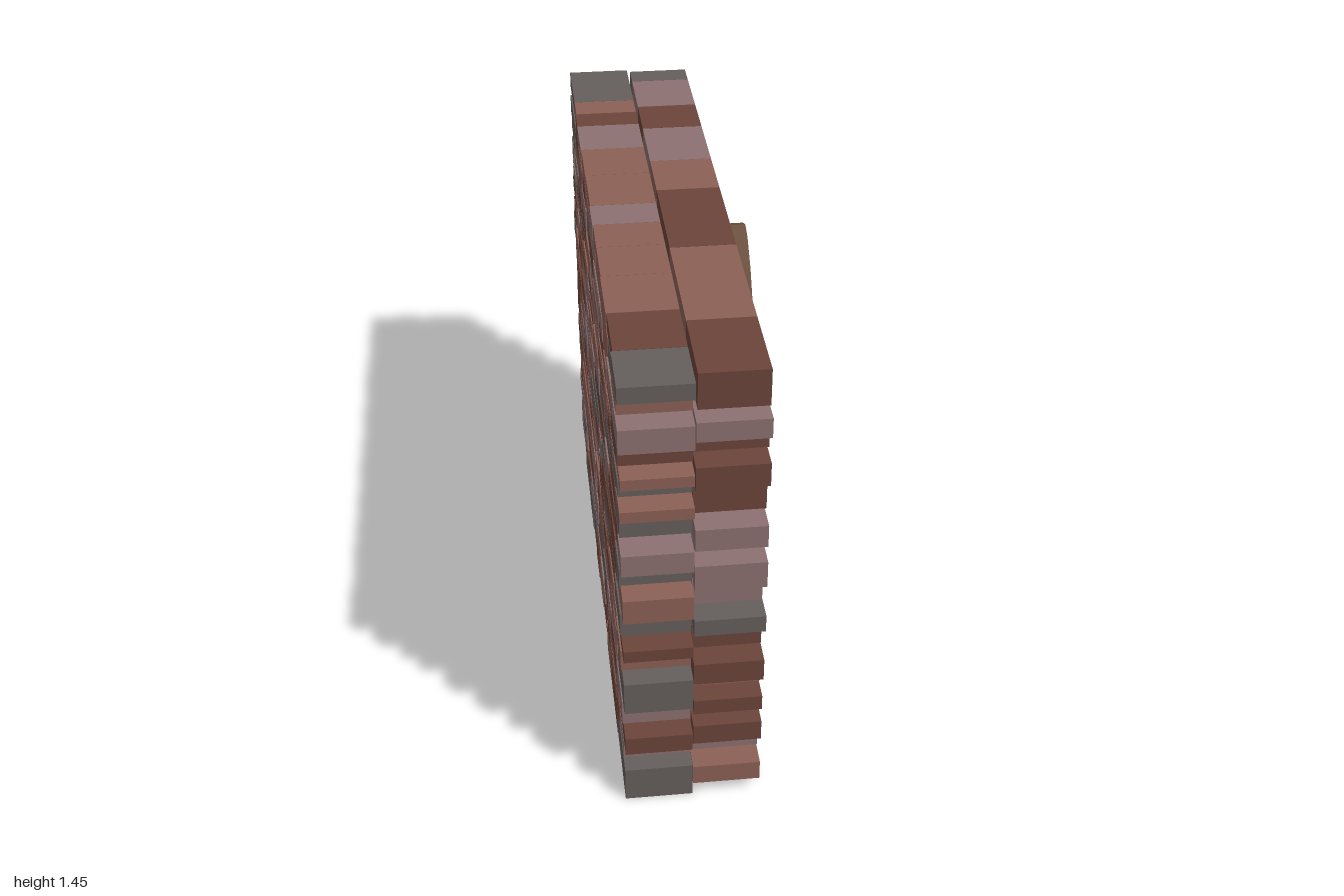
import * as THREE from 'three';

const mat = (color) => new THREE.MeshStandardMaterial({ color, flatShading: true });

// Small seeded generator for repeatable masonry
function seeded(seed) {
  let s = seed;
  return () => (s = (s * 16807) % 2147483647) / 2147483647;
}

const BRICK = { G: mat(0x655f5d), D: mat(0x6c443b), R: mat(0x8c6055), P: mat(0x8c7070) };
const UNIT = new THREE.BoxGeometry(1, 1, 1);

// One skin of the wall: rows are [bottom, top, colour of +z end brick, mean brick length]
function brickSkin(name, x0, x1, rows, ends, seed) {
  const skin = new THREE.Group();
  skin.name = name;
  const rnd = seeded(seed);
  const codes = 'DDRRPPG';
  rows.forEach(([y0, y1, endCode, mean], row) => {
    const [zEnd, zStart] = ends[row % 2];
    let z = zEnd, code = endCode;
    while (z - zStart > 0.01) {
      let len = mean * (0.6 + 0.8 * rnd());
      if (z - len - zStart < 0.07) len = z - zStart;
      const edge = row === 0 || y0 === 0;
      const drop = edge ? 0 : 0.009 * rnd();
      const lift = edge ? 0 : 0.004 * rnd();
      const gap = edge ? 0.001 : 0.002 + 0.005 * rnd();
      const inset = 0.005 * rnd();
      const brick = new THREE.Mesh(UNIT, BRICK[code]);
      brick.name = 'brick';
      const h = y1 - y0 - drop - lift;
      brick.scale.set(x1 - x0 - inset, h, len - gap);
      brick.position.set((x0 + x1 + (x0 < -0.1 ? inset : -inset)) / 2, y0 + lift + h / 2, z - len / 2);
      skin.add(brick);
      z -= len;
      code = codes[Math.floor(rnd() * codes.length)];
    }
  });
  return skin;
}

// Capping course with its visible brick joints
function topCourse() {
  const course = new THREE.Group();
  course.name = 'topCourse';
  const joints = [0.94, 0.68, 0.28, -0.08, -0.28, -0.52, -0.69, -0.9, -0.985];
  [...'DRDRPDPG'].forEach((code, i) => {
    const brick = new THREE.Mesh(UNIT, BRICK[code]);
    brick.name = 'capBrick';
    brick.scale.set(0.19, 0.11, joints[i] - joints[i + 1] - 0.001);
    brick.position.set(0.055, 1.395, (joints[i] + joints[i + 1]) / 2);
    course.add(brick);
  });
  return course;
}

// Right half of the pointed arch, shrunk by an inset; optionally clipped to a plank [a, b]
const HALF = [[0.305, 1.0], [0.12, 1.265], [0.05, 1.33], [0, 1.35]];
const SPREAD = [[1, 0.3], [0.75, 0.65], [0.4, 0.9], [0, 1]];
function archProfile(inset) {
  const right = HALF.map(([u, y], i) => [u - inset * SPREAD[i][0], y - inset * SPREAD[i][1]]);
  const left = right.slice(0, -1).reverse().map(([u, y]) => [-u, y]);
  return [...right, ...left].reverse(); // runs from -u to +u
}
function heightAt(profile, u) {
  for (let i = 1; i < profile.length; i++) {
    const [a, ya] = profile[i - 1], [b, yb] = profile[i];
    if (u <= b + 1e-6) return ya + ((yb - ya) * (u - a)) / (b - a);
  }
  return profile.at(-1)[1];
}
function archPoints(inset, y0, a = -1, b = 1) {
  const profile = archProfile(inset);
  const u0 = Math.max(a, profile[0][0]), u1 = Math.min(b, profile.at(-1)[0]);
  const top = [
    [u0, heightAt(profile, u0)],
    ...profile.filter(([u]) => u > u0 + 1e-4 && u < u1 - 1e-4),
    [u1, heightAt(profile, u1)],
  ];
  return [[u0, y0], [u1, y0], ...top.reverse()].map(([u, y]) => new THREE.Vector2(u, y));
}

function slab(name, shape, depth, z, material) {
  const geo = new THREE.ExtrudeGeometry(shape, { depth, bevelEnabled: false });
  const mesh = new THREE.Mesh(geo, material);
  mesh.name = name;
  mesh.position.z = z;
  return mesh;
}

// Door is modelled facing +z, then turned to face +x
function door() {
  const g = new THREE.Group();
  g.name = 'door';
  const frameMat = mat(0x6d5340), plankMat = mat(0xb88a66), grooveMat = mat(0x9a7152);

  const frame = new THREE.Shape(archPoints(0, 0));
  frame.holes.push(new THREE.Path(archPoints(0.02, 0.02)));
  g.add(slab('doorFrame', frame, 0.075, 0.148, frameMat));
  g.add(slab('doorBacking', new THREE.Shape(archPoints(0.018, 0.018)), 0.052, 0.148, grooveMat));
  [[-0.284, -0.112], [-0.088, 0.082], [0.108, 0.284]].forEach(([a, b]) =>
    g.add(slab('plank', new THREE.Shape(archPoints(0.024, 0.026, a, b)), 0.008, 0.2, plankMat)));

  // Ring pull hanging from a curved staple
  const iron = new THREE.MeshStandardMaterial({ color: 0x4a5054 });
  const handle = new THREE.Group();
  handle.name = 'handle';
  const ring = new THREE.Mesh(new THREE.TorusGeometry(0.047, 0.0095, 10, 28), iron);
  ring.name = 'pullRing';
  ring.position.set(0, 0.625, 0.217);
  const path = new THREE.CatmullRomCurve3([
    [0, 0.73, 0.208], [0, 0.715, 0.228], [0, 0.68, 0.241], [0, 0.65, 0.232], [0, 0.63, 0.208],
  ].map((p) => new THREE.Vector3(...p)));
  const staple = new THREE.Mesh(new THREE.TubeGeometry(path, 18, 0.009, 8), iron);
  staple.name = 'staple';
  const boss = new THREE.Mesh(new THREE.SphereGeometry(0.016, 12, 8), iron);
  boss.name = 'boss';
  boss.position.set(0, 0.635, 0.212);
  handle.add(ring, staple, boss);
  handle.position.x = 0.178;
  g.add(handle);

  g.rotation.y = Math.PI / 2;
  g.position.z = -0.022;
  return g;
}

export function createModel() {
  const model = new THREE.Group();
  model.name = 'brickWallWithDoor';

  const outerRows = [
    [1.28, 1.34, 'P', 0.13], [1.205, 1.28, 'D', 0.14], [1.125, 1.2, 'D', 0.12], [1.005, 1.115, 'D', 0.2],
    [0.925, 1.003, 'P', 0.14], [0.877, 0.922, 'G', 0.12], [0.785, 0.875, 'P', 0.13], [0.69, 0.78, 'P', 0.14],
    [0.625, 0.687, 'G', 0.13], [0.53, 0.62, 'D', 0.14], [0.445, 0.526, 'D', 0.13], [0.387, 0.438, 'R', 0.13],
    [0.33, 0.385, 'D', 0.13], [0.287, 0.325, 'G', 0.15], [0.215, 0.284, 'D', 0.13], [0.13, 0.213, 'P', 0.14],
    [0.055, 0.128, 'R', 0.15], [0, 0.055, 'R', 0.22],
  ];
  const innerRows = [
    [1.4, 1.45, 'G', 0.15], [1.33, 1.397, 'R', 0.17], [1.243, 1.327, 'P', 0.17], [1.17, 1.241, 'D', 0.17],
    [1.128, 1.168, 'R', 0.16], [1.068, 1.125, 'G', 0.16], [1.02, 1.065, 'R', 0.16], [0.93, 1.012, 'G', 0.18],
    [0.84, 0.92, 'P', 0.17], [0.765, 0.83, 'G', 0.17], [0.675, 0.762, 'R', 0.17], [0.583, 0.672, 'G', 0.17],
    [0.533, 0.58, 'D', 0.16], [0.455, 0.53, 'R', 0.17], [0.34, 0.452, 'G', 0.2], [0.248, 0.333, 'P', 0.17],
    [0.175, 0.246, 'D', 0.17], [0.113, 0.175, 'P', 0.16], [0, 0.115, 'G', 0.2],
  ];
  model.add(
    brickSkin('outerBricks', -0.05, 0.15, outerRows, [[1, -0.92], [0.94, -0.985]], 4711),
    brickSkin('innerBricks', -0.25, -0.05, innerRows, [[0.985, -1], [0.93, -0.95]], 90210),
    topCourse(),
    door(),
  );
  return model;
}
